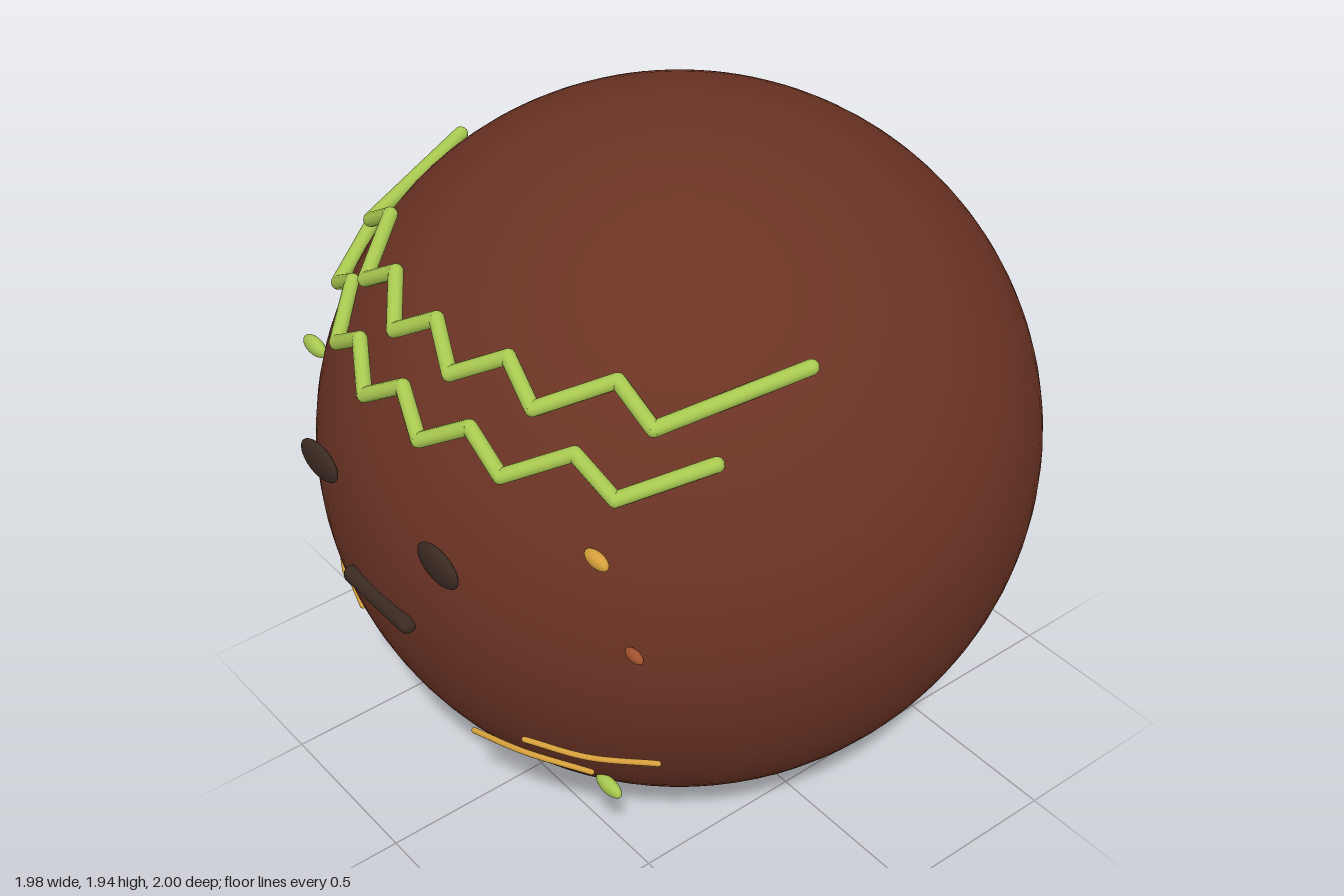
import * as THREE from 'three';

const CENTER = new THREE.Vector3(0, 0.97, -0.012);
const RX = 0.988, RY = 0.968;

const material = (color) => new THREE.MeshStandardMaterial({ color });
const brown = material(0x6b3324);
const dark = material(0x3a2a22);
const green = material(0xa8c850);
const gold = material(0xd6a03c);
const rust = material(0xa0522d);

// Depth of the front surface at (x, y), lifted slightly off the ball
function surfaceZ(x, y, lift = 1.02) {
  const u = x / (RX * lift), v = (y - CENTER.y) / (RY * lift);
  return CENTER.z + RX * lift * Math.sqrt(Math.max(0, 1 - u * u - v * v));
}

function ellipsoid(name, mat, position, radii, detail = 24) {
  const mesh = new THREE.Mesh(new THREE.SphereGeometry(1, detail, Math.round(detail * 0.7)), mat);
  mesh.name = name;
  mesh.position.set(...position);
  mesh.scale.set(...radii);
  return mesh;
}

// Straight round rod between two points
function rod(a, b, radius, mat) {
  const dir = b.clone().sub(a);
  const mesh = new THREE.Mesh(new THREE.CylinderGeometry(radius, radius, dir.length(), 12), mat);
  mesh.position.copy(a).add(b).multiplyScalar(0.5);
  mesh.quaternion.setFromUnitVectors(new THREE.Vector3(0, 1, 0), dir.normalize());
  mesh.name = 'zigzagSegment';
  return mesh;
}

// Mirrored zigzag band; depths run from the middle peak outwards
function zigzag(name, peakY, valleyY, depths) {
  const group = new THREE.Group();
  group.name = name;
  const points = [];
  for (let i = -6; i <= 6; i++) {
    points.push(new THREE.Vector3(i * 0.12, i % 2 ? valleyY : peakY, depths[Math.abs(i)]));
  }
  points.forEach((p, i) => {
    group.add(ellipsoid('zigzagJoint', green, p.toArray(), [0.02, 0.02, 0.02], 12));
    if (i) group.add(rod(points[i - 1], p, 0.02, green));
  });
  return group;
}

// Thin curved strand lying on the surface
function strand(points) {
  const curve = new THREE.CatmullRomCurve3(
    points.map(([x, y]) => new THREE.Vector3(x, y, surfaceZ(x, y)))
  );
  const mesh = new THREE.Mesh(new THREE.TubeGeometry(curve, 24, 0.008, 8), gold);
  mesh.name = 'strand';
  for (const end of [0, 1]) {
    mesh.add(ellipsoid('strandEnd', gold, curve.getPoint(end).toArray(), [0.008, 0.008, 0.008], 8));
  }
  return mesh;
}

export function createModel() {
  const model = new THREE.Group();
  model.name = 'decoratedBall';

  // Ball, slightly flattened vertically
  model.add(ellipsoid('body', brown, CENTER.toArray(), [RX, RY, RX], 80));

  // Face
  for (const side of [-1, 1]) {
    model.add(ellipsoid(side > 0 ? 'leftEye' : 'rightEye', dark, [side * 0.27, 1.155, 0.955], [0.084, 0.052, 0.02]));
  }
  const mouth = new THREE.Mesh(new THREE.CapsuleGeometry(0.025, 0.25, 8, 16), dark);
  mouth.name = 'mouth';
  mouth.rotation.z = Math.PI / 2;
  mouth.position.set(0, 0.88, 0.972);
  model.add(mouth);

  // Zigzag bands across the forehead
  model.add(zigzag('upperZigzag', 1.64, 1.565, [0.74, 0.79, 0.7, 0.72, 0.56, 0.55, 0.175]));
  model.add(zigzag('lowerZigzag', 1.49, 1.415, [0.85, 0.89, 0.82, 0.82, 0.69, 0.665, 0.46]));

  // Small flecks
  const flecks = [
    [green, [-0.62, 1.235, 0.745], [0.05, 0.027, 0.02]],
    [gold, [0.61, 1.275, 0.73], [0.043, 0.022, 0.018]],
    [rust, [0.71, 1.028, 0.7], [0.032, 0.017, 0.014]],
    [green, [0.512, 0.4, 0.638], [0.05, 0.024, 0.019]],
    [gold, [-0.48, 0.36, 0.605], [0.038, 0.019, 0.018]],
  ];
  for (const [mat, position, radii] of flecks) model.add(ellipsoid('fleck', mat, position, radii));

  // Curved strands on the lower cheeks
  const strands = [
    [[-0.72, 0.637], [-0.57, 0.657], [-0.41, 0.637]],
    [[-0.5, 0.56], [-0.415, 0.59], [-0.335, 0.56]],
    [[0.21, 0.5], [0.37, 0.517], [0.525, 0.5]],
    [[0.415, 0.61], [0.56, 0.6], [0.695, 0.608]],
  ];
  for (const points of strands) model.add(strand(points));

  return model;
}
